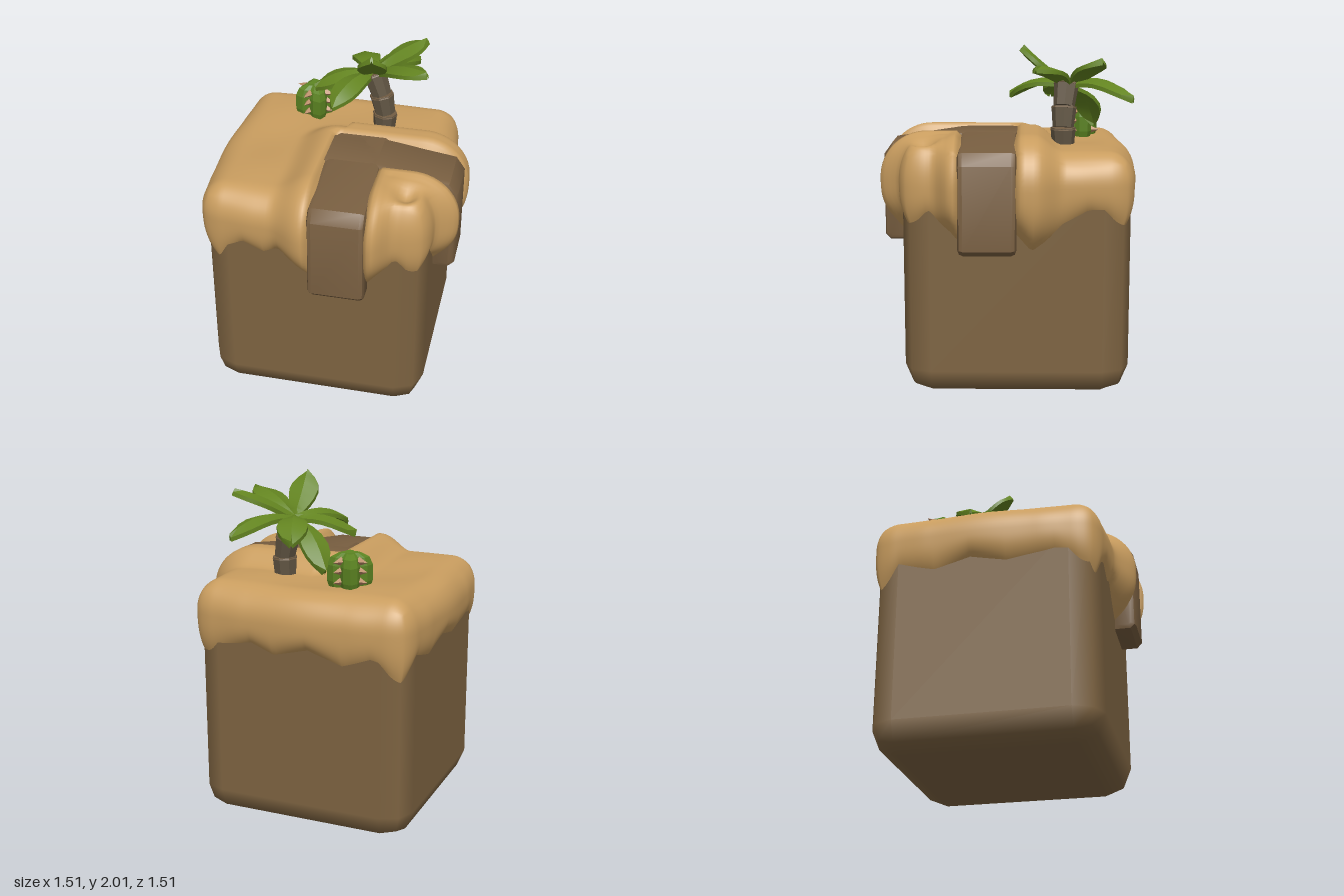
import * as THREE from 'three';
import { mergeVertices, toCreasedNormals } from 'three/addons/utils/BufferGeometryUtils.js';
import { RoundedBoxGeometry } from 'three/addons/geometries/RoundedBoxGeometry.js';

const paint = (name, color, flatShading = false) => {
  const m = new THREE.MeshStandardMaterial({ color, flatShading });
  m.name = name;
  return m;
};
const { clamp, lerp, smoothstep } = THREE.MathUtils;

// Height of the ragged sand hem around the block: front, right, back, left
const HEM = [
  [0, 1.0], [0.09, 0.97], [0.21, 1.09], [0.3, 1.03], [0.36, 1.08], [0.45, 0.97], [0.5, 0.92], [0.6, 1],
  [0.73, 0.91], [0.77, 0.98], [0.84, 1.08], [0.9, 1.04], [1, 1.01], [1.14, 1.08], [1.23, 0.98], [1.27, 0.91],
  [1.4, 1], [1.5, 0.96], [1.56, 0.86], [1.62, 0.92], [1.68, 1.0], [1.79, 1.09], [1.86, 1.08], [2, 1.0],
  [2.15, 1.04], [2.3, 1.09], [2.4, 1.03], [2.55, 1.09], [2.7, 1.01], [2.82, 1.07], [3, 0.95],
  [3.15, 1.07], [3.3, 1.02], [3.45, 1.09], [3.6, 1.04], [3.8, 1.08], [4, 1.0],
];
function hemHeight(x, z) {
  const m = Math.max(Math.abs(x), Math.abs(z)) - 1e-5;
  let s;
  if (z >= m) s = (x + 0.7) / 1.4;
  else if (x >= m) s = 1 + (0.7 - z) / 1.4;
  else if (z <= -m) s = 2 + (0.7 - x) / 1.4;
  else s = 3 + (z + 0.7) / 1.4;
  const i = Math.max(1, HEM.findIndex((h) => h[0] >= s - 1e-6));
  const [a, b] = [HEM[i - 1], HEM[i]];
  return lerp(a[1], b[1], clamp((s - a[0]) / (b[0] - a[0]), 0, 1));
}

// Signed distance to the L-shaped path, seen from above
function pathDistance(x, z) {
  const leg = (across, along) => {
    const dx = Math.abs(across - 0.115) - 0.165, dz = -0.05 - along;
    return Math.hypot(Math.max(dx, 0), Math.max(dz, 0)) + Math.min(Math.max(dx, dz), 0);
  };
  return Math.min(leg(x, z), leg(z, x));
}

// Soft sand cap: a rounded box that swells beside the path and curls in at the hem
function sandGeometry() {
  const g = new THREE.BoxGeometry(1.4, 0.48, 1.4, 60, 20, 60);
  const bottom = g.groups[3];
  g.setIndex([...g.index.array].filter((_, i) => i < bottom.start || i >= bottom.start + bottom.count));
  g.clearGroups();
  const pos = g.attributes.position, p = new THREE.Vector3(), core = new THREE.Vector3(), d = new THREE.Vector3();
  for (let i = 0; i < pos.count; i++) {
    p.fromBufferAttribute(pos, i);
    p.y += 1.19;
    const x = p.x - 0.05, z = p.z - 0.05;
    core.set(clamp(p.x, -0.52, 0.52), Math.min(p.y, 1.25), clamp(p.z, -0.52, 0.52));
    d.subVectors(p, core).normalize();
    const v = clamp((p.y - 0.95) / 0.3, 0, 1);
    const dist = pathDistance(x, z);
    const edge = smoothstep(dist, -0.04, 0.015);
    const inNotch = x > 0.2 && z > 0.2, behind = z < 0 && x > 0;
    // The swelling is narrow in the front corner and broad behind the path
    const reach = inNotch ? 0.15 : behind ? 0.27 : 0.24;
    const swell = edge * (1 - smoothstep(dist, behind ? 0.1 : 0.03, reach));
    let lift = swell;
    if (inNotch) lift = Math.max(lift, 0.85 * edge) - 0.8 * Math.exp(-((x - 0.47) ** 2 + (z - 0.48) ** 2) / 0.006);
    const wave = 0.009 * Math.sin(x * 8.4 + 2) * Math.sin(z * 8.4 + 2) * (1 - swell) * smoothstep(dist, 0, 0.1);
    const taper = 0.03 * smoothstep(Math.min(Math.abs(p.x), Math.abs(p.z)), 0.32, 0.6);
    const out = lerp(-0.065, 0.1 * swell + wave - taper, 1 - (1 - v) ** 3) + 0.18;
    const y = p.y < 1.25 ? lerp(hemHeight(p.x, p.z), 1.25, v) : 1.25 + d.y * (0.18 + 0.095 * lift + wave);
    pos.setXYZ(i, core.x + d.x * out - 0.05, y, core.z + d.z * out - 0.05);
  }
  g.deleteAttribute('uv');
  g.deleteAttribute('normal');
  const merged = mergeVertices(g, 1e-4);
  merged.computeVertexNormals();
  return merged;
}

// One path leg: flat at the corner, sloping outward and folding down the side
function pathGeometry() {
  const pts = [[-0.05, 1.35], [0.55, 1.3], [0.59, 1.2], [0.59, 0.87], [0.70, 0.87], [0.73, 0.90],
    [0.73, 1.38], [0.68, 1.45], [0.28, 1.51], [-0.05, 1.51]];
  const shape = new THREE.Shape(pts.map(([x, y]) => new THREE.Vector2(x, y)));
  const g = new THREE.ExtrudeGeometry(shape, {
    depth: 0.27, bevelSize: 0.03, bevelThickness: 0.03, bevelOffset: -0.03, bevelSegments: 2, curveSegments: 1,
  });
  g.translate(0, 0, -0.02);
  return toCreasedNormals(g, 0.7);
}

// Palm leaf: thin folded blade from base to tip, arched by bend
function leafGeometry(base, tip, bend, width) {
  const dir = tip.clone().sub(base);
  const side = new THREE.Vector3().crossVectors(dir, new THREE.Vector3(0, 1, 0)).normalize();
  const up = new THREE.Vector3().crossVectors(side, dir).normalize();
  const stations = [[0, 0.2], [0.15, 0.44], [0.3, 0.7], [0.45, 0.9], [0.62, 1], [0.75, 0.9], [0.87, 0.6], [1, 0.1]];
  const section = [[-1, -0.02], [0, 0], [1, -0.02], [1, -0.044], [0, -0.026], [-1, -0.044]];
  const verts = [], index = [];
  for (const [t, w] of stations) {
    const c = base.clone().addScaledVector(dir, t).addScaledVector(up, bend * Math.sin(Math.PI * t));
    for (const [a, b] of section) {
      const q = c.clone().addScaledVector(side, a * w * width).addScaledVector(up, b);
      verts.push(q.x, q.y, q.z);
    }
  }
  for (let i = 0; i < stations.length - 1; i++) {
    for (let k = 0; k < 6; k++) {
      const a = i * 6 + k, b = i * 6 + (k + 1) % 6;
      index.push(a, b, a + 6, b, b + 6, a + 6);
    }
  }
  const e = (stations.length - 1) * 6;
  for (const [a, b, c, f] of [[0, 1, 4, 5], [1, 2, 3, 4]]) {
    index.push(a, c, b, a, f, c, e + a, e + b, e + c, e + a, e + c, e + f);
  }
  const g = new THREE.BufferGeometry();
  g.setAttribute('position', new THREE.Float32BufferAttribute(verts, 3));
  g.setIndex(index);
  return toCreasedNormals(g, 0.4);
}

export function createModel() {
  const sand = paint('sand', 0xc99d5f), dirt = paint('dirt', 0x7d6341), pathMat = paint('path', 0x785e40);
  const leafMat = paint('palm leaf', 0x638420), cactusMat = paint('cactus green', 0x5c8422, true);
  const bark = paint('bark', 0x615543, true), barkRing = paint('bark ring', 0x735d43, true);
  const thorn = paint('thorn', 0xb98c64, true);
  const model = new THREE.Group();
  const add = (name, geometry, material, parent = model) => {
    const m = new THREE.Mesh(geometry, material);
    m.name = name;
    parent.add(m);
    return m;
  };
  const group = (name) => {
    const g = new THREE.Group();
    g.name = name;
    model.add(g);
    return g;
  };

  // Ground block, sand and path
  add('dirtBlock', new RoundedBoxGeometry(1.31, 1.38, 1.31, 1, 0.16), dirt).position.set(-0.05, 0.69, -0.05);
  add('sandCap', sandGeometry(), sand);
  const leg = pathGeometry();
  add('rightPath', leg, pathMat);
  const front = add('frontPath', leg, pathMat);
  front.rotation.y = -Math.PI / 2;
  front.position.x = 0.23;

  // Palm trunk: flared segments along a gentle lean
  const palm = group('palm');
  const joints = [[0.19, 1.38, -0.32], [0.195, 1.53, -0.32], [0.17, 1.65, -0.325], [0.12, 1.78, -0.34]]
    .map((a) => new THREE.Vector3(...a));
  for (let i = 0; i < 3; i++) {
    const [a, b] = [joints[i], joints[i + 1]];
    const axis = b.clone().sub(a), len = axis.length();
    const turn = new THREE.Quaternion().setFromUnitVectors(new THREE.Vector3(0, 1, 0), axis.normalize());
    const seg = add('trunkSegment', new THREE.CylinderGeometry(0.074, 0.062, len, 8), bark, palm);
    seg.position.copy(a).lerp(b, 0.5);
    seg.quaternion.copy(turn);
    const ring = add('trunkRing', new THREE.CylinderGeometry(0.072, 0.076, 0.012, 8), barkRing, palm);
    ring.position.copy(b).addScaledVector(axis, -0.004);
    ring.quaternion.copy(turn);
  }

  // Palm crown: tip position, arch
  const crown = new THREE.Vector3(0.11, 1.79, -0.36);
  const tips = [
    [-0.03, 1.72, -0.71, 0.05], [0.34, 1.73, -0.72, 0.05], [0.4, 1.95, -0.53, 0.02], [0.46, 1.91, -0.16, 0.03],
    [0.15, 2.01, -0.09, -0.01], [-0.07, 1.72, 0, 0.05], [-0.23, 1.71, -0.25, 0.04], [-0.16, 1.53, -0.53, 0.05],
  ];
  for (const [x, y, z, bend] of tips) {
    add('palmLeaf', leafGeometry(crown, new THREE.Vector3(x, y, z), bend, 0.086), leafMat, palm);
  }

  // Cactus: four-lobed body with thorns in the grooves
  const cactus = group('cactus');
  cactus.position.set(-0.262, 0, -0.43);
  cactus.rotation.y = 0.42;
  const outline = [[0.08, 1.36], [0.104, 1.46], [0.104, 1.55], [0.088, 1.595], [0.05, 1.62], [0, 1.615]];
  const body = new THREE.LatheGeometry(outline.map(([r, y]) => new THREE.Vector2(r, y)), 16);
  const bp = body.attributes.position;
  for (let i = 0; i < bp.count; i++) {
    const k = 1 + 0.24 * Math.cos(4 * Math.atan2(bp.getZ(i), bp.getX(i)));
    bp.setXYZ(i, bp.getX(i) * k, bp.getY(i), bp.getZ(i) * k);
  }
  add('cactusBody', body, cactusMat, cactus);
  for (let i = 0; i < 4; i++) {
    const row = new THREE.Group();
    row.name = 'thornRow';
    row.rotation.y = Math.PI / 4 + i * Math.PI / 2;
    cactus.add(row);
    for (const y of [1.465, 1.525, 1.58]) {
      const spike = add('thorn', new THREE.ConeGeometry(0.026, 0.065, 4), thorn, row);
      spike.position.set(0.103, y, 0);
      spike.rotation.z = -Math.PI / 2;
    }
  }
  return model;
}
